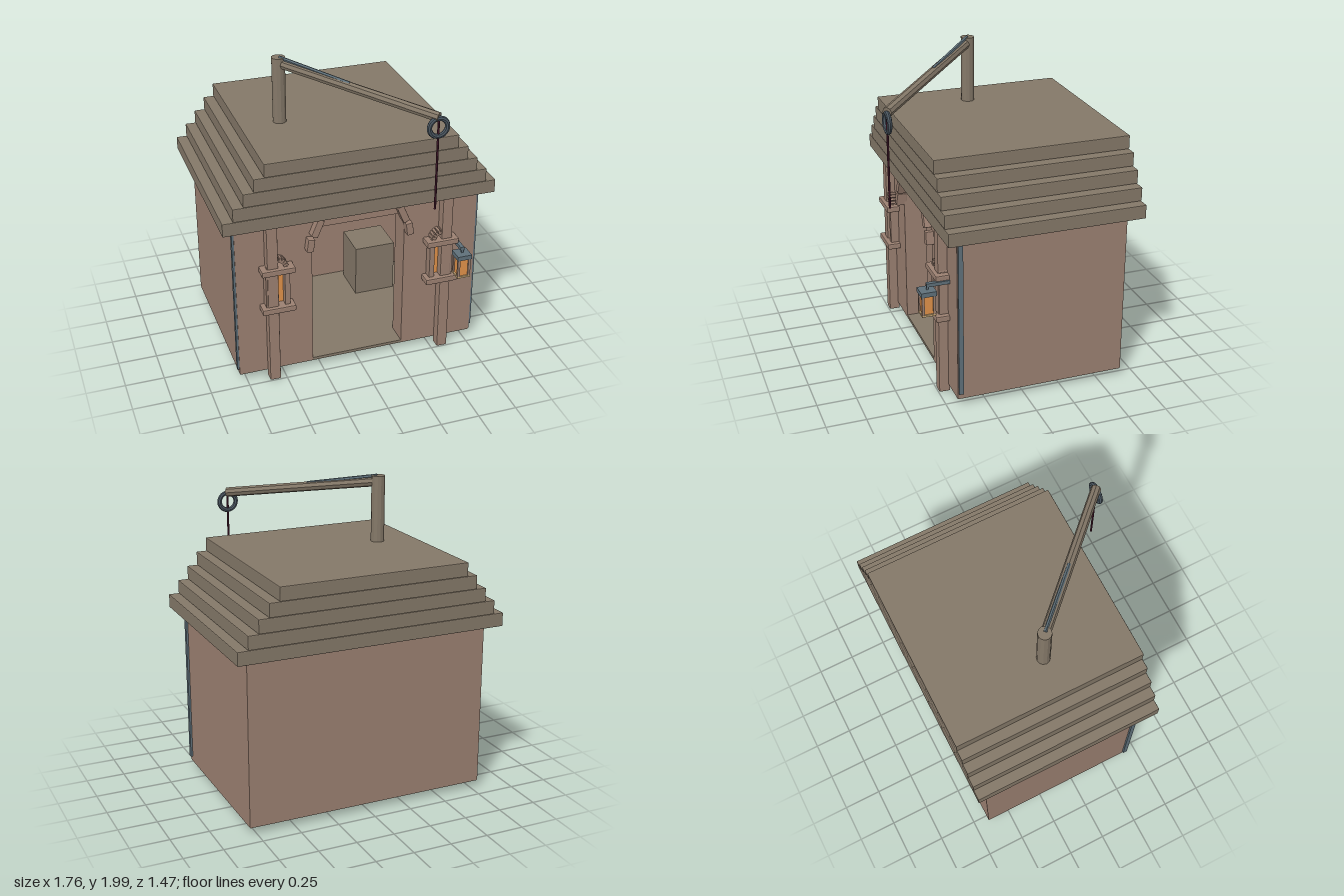
import * as THREE from 'three';
import { RoundedBoxGeometry } from 'three/addons/geometries/RoundedBoxGeometry.js';

const paint = (color) => new THREE.MeshStandardMaterial({ color, flatShading: true });

export function createModel() {
  const model = new THREE.Group();
  const stone = paint(0x9b8071), timber = paint(0x847868), metal = paint(0x5f707a);
  const iron = paint(0x4a5660), glow = paint(0xe0924a), cord = paint(0x4a1c30), tan = paint(0xc8a878);

  const add = (name, geometry, material, parent = model) => {
    const mesh = new THREE.Mesh(geometry, material);
    mesh.name = name;
    parent.add(mesh);
    return mesh;
  };
  // Box given by its lower and upper limits on each axis
  const box = (name, [x0, x1], [y0, y1], [z0, z1], material, parent, bevel = 0) => {
    const size = [x1 - x0, y1 - y0, z1 - z0];
    const geometry = bevel ? new RoundedBoxGeometry(...size, 1, bevel) : new THREE.BoxGeometry(...size);
    const mesh = add(name, geometry, material, parent);
    mesh.position.set((x0 + x1) / 2, (y0 + y1) / 2, (z0 + z1) / 2);
    return mesh;
  };
  // Round bar between two points
  const bar = (name, from, to, radius, sides, material, parent) => {
    const a = new THREE.Vector3(...from), b = new THREE.Vector3(...to);
    const mesh = add(name, new THREE.CylinderGeometry(radius, radius, a.distanceTo(b), sides), material, parent);
    mesh.position.copy(a).add(b).multiplyScalar(0.5);
    mesh.quaternion.setFromUnitVectors(new THREE.Vector3(0, 1, 0), b.sub(a).normalize());
    return mesh;
  };

  // Hollow room: floor, three plain walls and a front wall with a doorway
  box('floor', [-0.79, 0.79], [0.05, 0.07], [-0.65, 0.434], timber);
  box('backWall', [-0.795, 0.795], [0.055, 1.13], [-0.655, -0.5], stone);
  for (const s of [-1, 1]) {
    box('sideWall', s < 0 ? [-0.795, -0.645] : [0.645, 0.795], [0.055, 1.13], [-0.5, 0.285], stone);
  }
  const wall = new THREE.Shape([
    [-0.795, 0.055], [-0.305, 0.055], [-0.305, 1.04], [0.305, 1.04],
    [0.305, 0.055], [0.795, 0.055], [0.795, 1.13], [-0.795, 1.13],
  ].map(([x, y]) => new THREE.Vector2(x, y)));
  add('frontWall', new THREE.ExtrudeGeometry(wall, { depth: 0.15, bevelEnabled: false }), stone).position.z = 0.285;

  // Stepped roof, narrowing to the sides only
  for (let i = 0; i < 5; i++) {
    const half = 0.88 - i * 0.066, y = 1.125 + i * 0.088;
    box('roofStep', [-half, half], [y, y + 0.088], [-0.735, 0.513], timber, model, 0.005);
  }

  for (const s of [-1, 1]) {
    // Half of the front, built around its own pillar
    const side = new THREE.Group();
    side.name = s < 0 ? 'rightFrontBay' : 'leftFrontBay';
    model.add(side);
    const span = (a, b) => (s < 0 ? [-b, -a] : [a, b]);

    box('pillar', span(0.54, 0.61), [0.005, 1.13], [0.425, 0.495], stone, side, 0.006);
    box('cornerStrip', span(0.785, 0.808), [0.09, 1.125], [0.4, 0.43], metal, side);
    box('innerBlock', span(0.21, 0.49), [0.07, 0.43], [-0.45, -0.19], timber, side);

    // Narrow lit window with sill, lintel and jambs
    box('windowSill', span(0.435, 0.65), [0.52, 0.56], [0.43, 0.52], stone, side, 0.008);
    box('windowLintel', span(0.435, 0.65), [0.795, 0.835], [0.43, 0.52], stone, side, 0.008);
    box('windowPane', span(0.49, 0.595), [0.56, 0.795], [0.43, 0.445], glow, side);
    box('windowJamb', span(0.465, 0.498), [0.56, 0.795], [0.43, 0.49], stone, side);
    box('windowJamb', span(0.587, 0.62), [0.56, 0.795], [0.43, 0.49], stone, side);

    // Small stones fanned over the window
    for (let i = 0; i <= 10; i++) {
      const a = (i / 10) * Math.PI;
      const wedge = add('windowArchStone', new THREE.BoxGeometry(0.03, 0.015, 0.06), stone, side);
      wedge.position.set(s * 0.5425 + 0.055 * Math.cos(a), 0.83 + 0.055 * Math.sin(a), 0.46);
      wedge.rotation.z = a;
    }

    // Door arch stones
    for (const [x, y, length, tilt] of [[0.325, 0.942, 0.085, 0.14], [0.28, 1.055, 0.12, 0.4]]) {
      const block = add('doorArchStone', new RoundedBoxGeometry(0.045, length, 0.07, 1, 0.005), stone, side);
      block.position.set(s * x, y, 0.45);
      block.rotation.z = s * tilt;
    }
  }

  // Lantern on a bracket
  const lantern = new THREE.Group();
  lantern.name = 'lantern';
  model.add(lantern);
  box('lanternArm', [0.635, 0.66], [0.78, 0.803], [0.43, 0.58], metal, lantern);
  box('lanternHanger', [0.642, 0.654], [0.75, 0.785], [0.568, 0.58], metal, lantern);
  box('lanternCap', [0.6, 0.695], [0.732, 0.762], [0.528, 0.625], metal, lantern);
  box('lanternGlass', [0.613, 0.682], [0.61, 0.732], [0.542, 0.611], glow, lantern);
  box('lanternBase', [0.603, 0.692], [0.6, 0.612], [0.532, 0.621], tan, lantern);
  for (const x of [0.612, 0.683]) for (const z of [0.541, 0.612]) {
    box('lanternPost', [x - 0.008, x + 0.008], [0.61, 0.735], [z - 0.008, z + 0.008], stone, lantern);
  }

  // Roof crane with boom, pulley and hanging rope
  const crane = new THREE.Group();
  crane.name = 'crane';
  model.add(crane);
  bar('cranePost', [-0.36, 1.56, -0.03], [-0.36, 1.99, -0.03], 0.043, 12, timber, crane);
  bar('craneBoom', [-0.35, 1.95, -0.02], [0.385, 1.805, 0.715], 0.031, 8, timber, crane);
  bar('boomBrace', [-0.355, 1.988, -0.025], [-0.02, 1.907, 0.31], 0.012, 6, metal, crane);
  add('pulley', new THREE.TorusGeometry(0.057, 0.016, 8, 28), iron, crane).position.set(0.383, 1.742, 0.716);
  bar('rope', [0.383, 1.2, 0.716], [0.383, 1.81, 0.716], 0.007, 6, cord, crane);

  return model;
}
